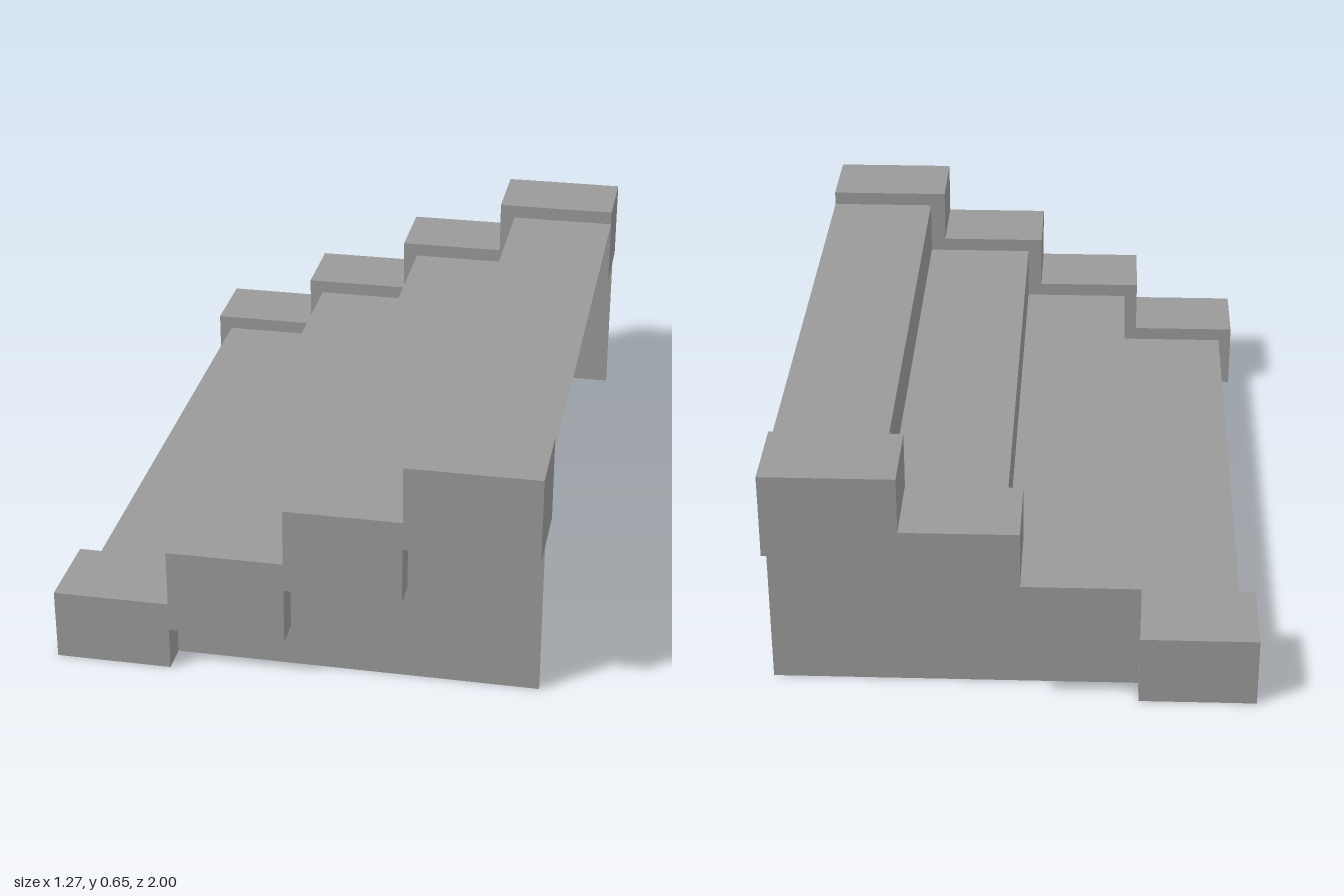
import * as THREE from 'three';

const STEPS = 4, RISE = 0.154;
const END = 0.633;          // high end of the stairs
const INNER = 0.77;         // inner face of the curbs
const CURB_X = -0.635, CURB_RUN = 0.307, CURB_TOP = 0.192, CURB_DEPTH = 0.231;
const TREAD_X = -0.597, TREAD_RUN = 0.309, TREAD_TOP = 0.153;
const PANEL_Z = 0.92;

const solid = new THREE.MeshStandardMaterial({ color: 0x999999, flatShading: true });
const sheet = new THREE.MeshStandardMaterial({ color: 0x999999, flatShading: true, side: THREE.DoubleSide });

// Lower edge of a curb, from the foot up to the high end
function undersidePoints() {
  const pts = [];
  for (let i = 0; i < STEPS; i++) {
    const y = Math.max(0, CURB_TOP + i * RISE - CURB_DEPTH);
    const x1 = i === STEPS - 1 ? END : CURB_X + (i + 1) * CURB_RUN;
    pts.push(new THREE.Vector2(CURB_X + i * CURB_RUN, y), new THREE.Vector2(x1, y));
  }
  return pts;
}

// Upper edge of a curb, from the high end back to the foot
function topPoints() {
  const pts = [];
  for (let i = STEPS - 1; i >= 0; i--) {
    const y = CURB_TOP + i * RISE;
    const x1 = i === STEPS - 1 ? END : CURB_X + (i + 1) * CURB_RUN;
    pts.push(new THREE.Vector2(x1, y), new THREE.Vector2(CURB_X + i * CURB_RUN, y));
  }
  return pts;
}

function add(parent, name, geometry, material, x, y, z) {
  const mesh = new THREE.Mesh(geometry, material);
  mesh.name = name;
  mesh.position.set(x, y, z);
  parent.add(mesh);
}

export function createModel() {
  const model = new THREE.Group();
  model.name = 'stairs';

  // Thin folded sheet of risers and treads
  const flight = new THREE.Group();
  flight.name = 'flight';
  model.add(flight);
  for (let i = 0; i < STEPS; i++) {
    const x0 = TREAD_X + i * TREAD_RUN;
    const x1 = i === STEPS - 1 ? END : x0 + TREAD_RUN;
    const y1 = TREAD_TOP + i * RISE;
    const y0 = i === 0 ? 0 : y1 - RISE;
    const riser = new THREE.PlaneGeometry(2 * INNER, y1 - y0).rotateY(-Math.PI / 2);
    add(flight, 'riser', riser, sheet, x0, (y0 + y1) / 2, 0);
    const tread = new THREE.PlaneGeometry(x1 - x0, 2 * INNER).rotateX(-Math.PI / 2);
    add(flight, 'tread', tread, sheet, (x0 + x1) / 2, y1, 0);
  }

  // Solid stepped curbs, each on a thin recessed side panel
  const curbShape = new THREE.Shape([...undersidePoints(), ...topPoints()]);
  const curbGeo = new THREE.ExtrudeGeometry(curbShape, { depth: 1 - INNER, bevelEnabled: false });
  const panelShape = new THREE.Shape([
    ...undersidePoints().slice(2),
    new THREE.Vector2(END, 0),
    new THREE.Vector2(CURB_X + CURB_RUN, 0),
  ]);
  const panelGeo = new THREE.ShapeGeometry(panelShape);
  for (const side of [1, -1]) {
    add(model, side > 0 ? 'frontCurb' : 'backCurb', curbGeo, solid, 0, 0, side > 0 ? INNER : -1);
    add(model, side > 0 ? 'frontPanel' : 'backPanel', panelGeo, sheet, 0, 0, side * PANEL_Z);
  }
  return model;
}
